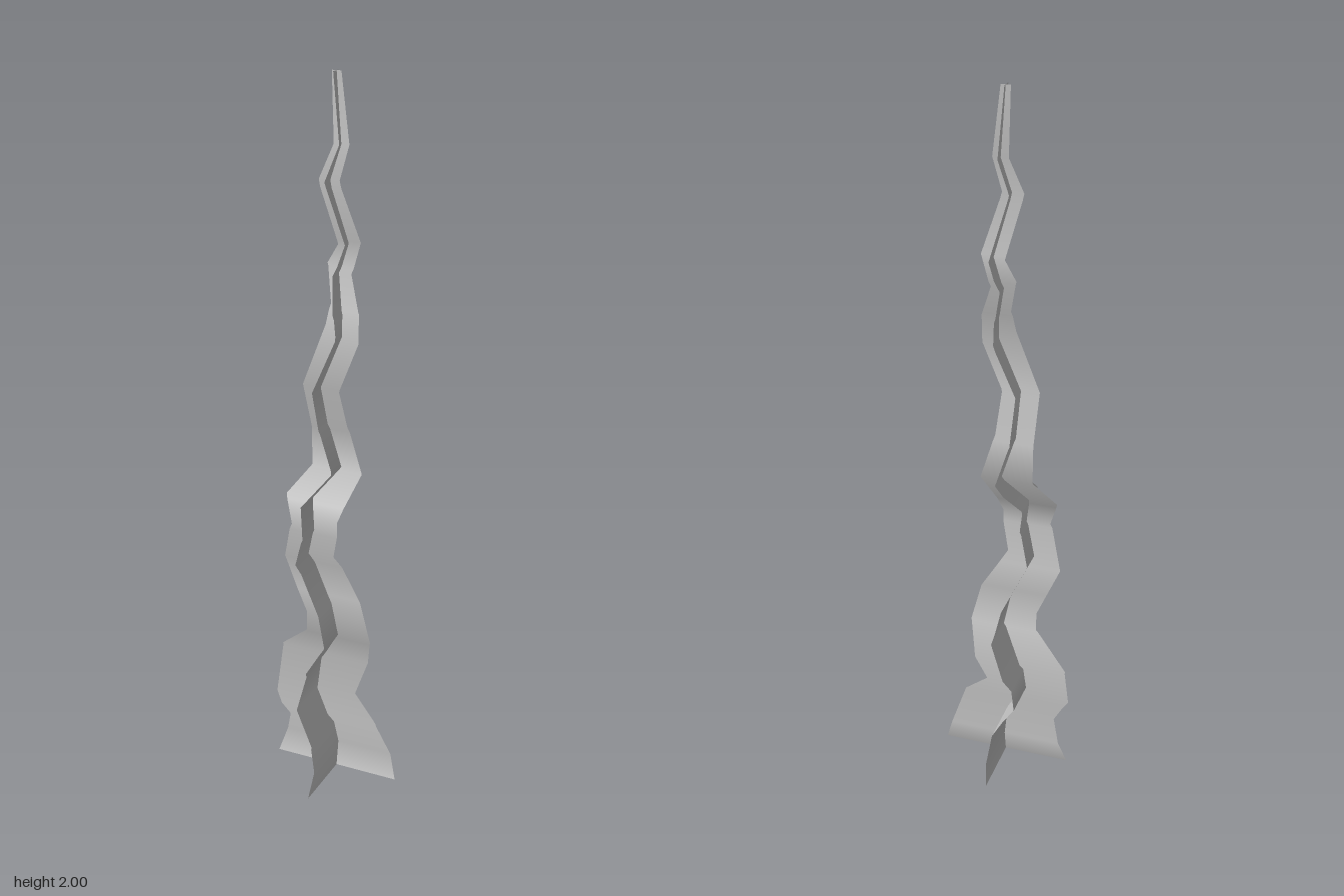
import * as THREE from 'three';

// Each profile is a list of [height, offset] points.
const acrossLeft = [[0, -.188], [.138, -.146], [.207, -.188], [.345, -.188], [.435, -.087], [.493, -.087],
  [.652, -.156], [.775, -.114], [.854, -.14], [.934, -.082], [1.183, -.085], [1.353, -.022], [1.41, -.01],
  [1.507, -.035], [1.56, -.003], [1.73, -.045], [1.82, -.008], [2, -.013]];
const acrossRight = [[0, .185], [.18, .13], [.25, .055], [.435, .109], [.557, .077], [.684, 0], [.76, .024],
  [.8, .02], [.928, .066], [1.06, .025], [1.172, .019], [1.31, .072], [1.39, .072], [1.485, .035],
  [1.57, .061], [1.73, .013], [1.82, .035], [2, .013]];
const acrossBend = [[0, 0], [.07, -.017], [.175, .017], [.34, -.037], [.43, .012], [.56, .012], [.65, .007],
  [.76, .05], [.84, .03], [.93, -.02], [1.045, -.02], [1.18, .028], [1.395, .018], [1.5, -.02],
  [1.57, -.015], [1.71, .012], [1.82, 0], [2, 0]];

const deepFront = [[0, .19], [.058, .146], [.143, .16], [.24, .13], [.313, .066], [.414, .103], [.65, .093],
  [.76, .123], [.86, .098], [.95, .04], [1.05, .04], [1.183, .082], [1.337, .061], [1.395, .072],
  [1.507, .013], [1.565, .008], [1.73, .045], [1.82, .013], [2, .02]];
const deepBack = [[0, -.183], [.085, -.188], [.185, -.114], [.22, -.114], [.36, -.152], [.467, -.085],
  [.56, -.07], [.65, -.06], [.76, -.013], [.83, -.03], [.91, -.077], [1.045, -.077], [1.18, -.02],
  [1.31, -.03], [1.4, -.02], [1.52, -.06], [1.57, -.055], [1.72, -.013], [1.82, -.025], [2, -.01]];
const deepBend = [[0, 0], [.15, -.004], [.24, -.063], [.325, -.063], [.44, .01], [.535, -.01], [.68, -.077],
  [.77, -.045], [.855, -.06], [.94, .005], [1.06, -.033], [1.18, -.033], [1.325, .025], [1.385, .025],
  [1.485, 0], [1.565, .027], [1.73, -.013], [1.82, .013], [2, 0]];

// Linear lookup of a profile at height y
function at(profile, y) {
  let i = 1;
  while (i < profile.length - 1 && profile[i][0] < y) i++;
  const [y0, v0] = profile[i - 1], [y1, v1] = profile[i];
  return v0 + (v1 - v0) * (y - y0) / (y1 - y0);
}

// Slopes averaged at each bend, for smooth shading
function slopes(profile) {
  const seg = profile.slice(1).map(([y, v], i) => (v - profile[i][1]) / (y - profile[i][0]));
  return profile.map(([y], i) => [y, ((seg[i - 1] ?? seg[i]) + (seg[i] ?? seg[i - 1])) / 2]);
}

// Upright strip between two ragged edges, folded back and forth by the bend profile
function ribbon(edgeA, edgeB, bend, alongX) {
  const heights = [...new Set([...edgeA, ...edgeB, ...bend].map(p => p[0]))].sort((a, b) => a - b);
  const slope = slopes(bend);
  const positions = [], normals = [], index = [];
  heights.forEach((y, row) => {
    const b = at(bend, y), s = at(slope, y), len = Math.hypot(1, s);
    for (const edge of [edgeA, edgeB]) {
      const e = at(edge, y);
      positions.push(...(alongX ? [e, y, b] : [b, y, e]));
      normals.push(...(alongX ? [0, -s / len, 1 / len] : [1 / len, -s / len, 0]));
    }
    if (row > 0) {
      const k = row * 2;
      index.push(k - 2, k - 1, k + 1, k - 2, k + 1, k);
    }
  });
  const geometry = new THREE.BufferGeometry();
  geometry.setAttribute('position', new THREE.Float32BufferAttribute(positions, 3));
  geometry.setAttribute('normal', new THREE.Float32BufferAttribute(normals, 3));
  geometry.setIndex(index);
  return geometry;
}

export function createModel() {
  const grey = new THREE.MeshStandardMaterial({ color: 0xcccccc, side: THREE.DoubleSide });
  grey.name = 'light grey';

  const group = new THREE.Group();
  group.name = 'crossedBolt';

  // Left-to-right strip
  const across = new THREE.Mesh(ribbon(acrossLeft, acrossRight, acrossBend, true), grey);
  across.name = 'sidewaysRibbon';

  // Front-to-back strip
  const deep = new THREE.Mesh(ribbon(deepFront, deepBack, deepBend, false), grey);
  deep.name = 'lengthwiseRibbon';

  group.add(across, deep);
  return group;
}
